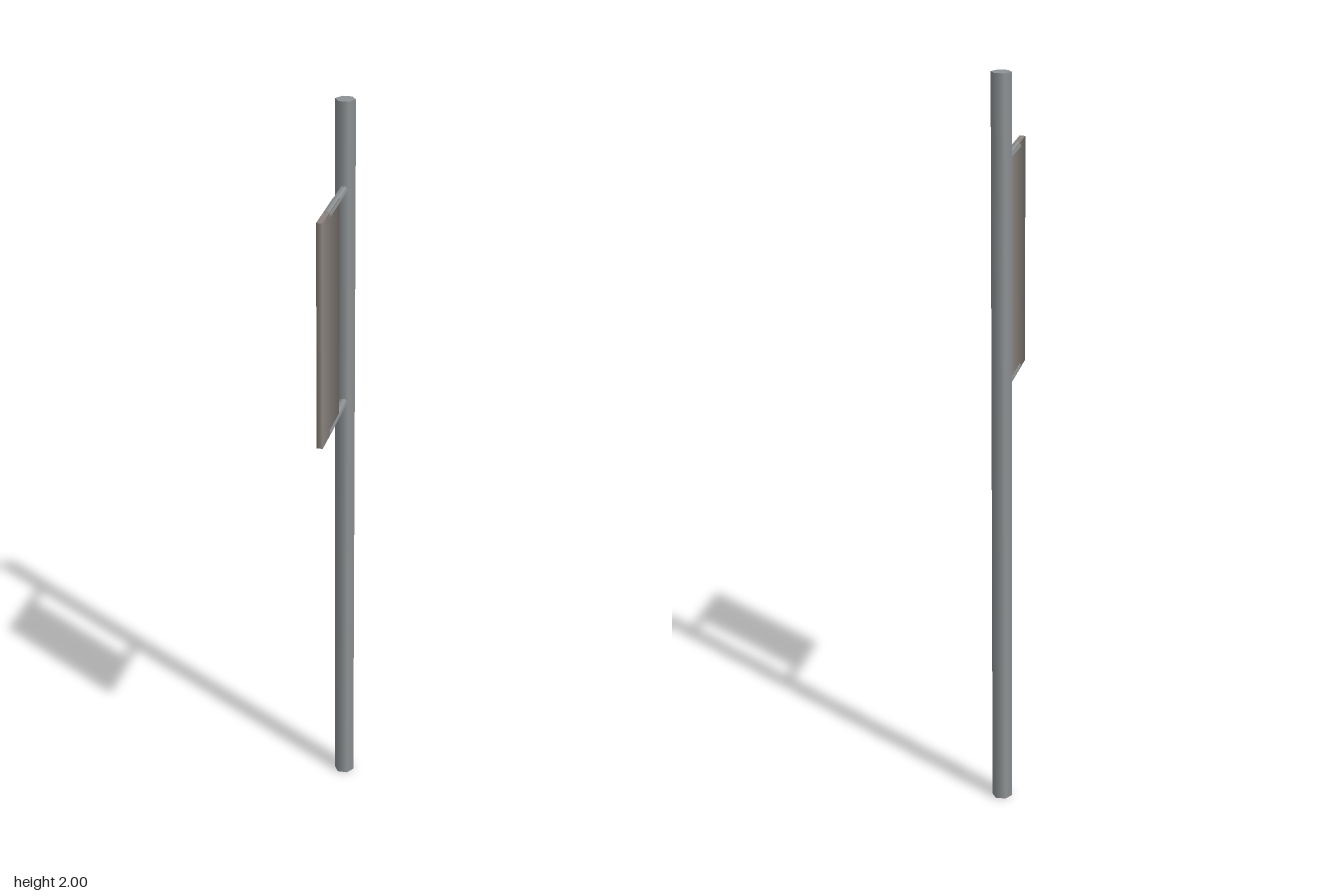
import * as THREE from 'three';

const steel = new THREE.MeshStandardMaterial({ color: 0x8f9395 });
const plate = new THREE.MeshStandardMaterial({ color: 0x8a837d });

// Hexagonal bar standing on y, with corners on +x and -x
function hexBar(name, radius, length) {
  const geometry = new THREE.CylinderGeometry(radius, radius, length, 6, 1, false, Math.PI / 2);
  const mesh = new THREE.Mesh(geometry, steel);
  mesh.name = name;
  return mesh;
}

export function createModel() {
  const model = new THREE.Group();
  model.name = 'signPost';
  const top = 1.774, bottom = 1.155, armRadius = 0.012;
  const armHalfHeight = armRadius * Math.sqrt(3) / 2;

  // Upright pole
  const pole = hexBar('pole', 0.027, 2);
  pole.position.set(0, 1, -0.139);
  model.add(pole);

  // Two horizontal arms running forward from the pole
  const armBack = -0.125, armFront = 0.082;
  for (const [name, y] of [['upperArm', top - armHalfHeight], ['lowerArm', bottom + armHalfHeight]]) {
    const arm = hexBar(name, armRadius, armFront - armBack);
    arm.rotation.x = Math.PI / 2;
    arm.position.set(0, y, (armBack + armFront) / 2);
    model.add(arm);
  }

  // Thin panel held by the arms: four walls shaded smoothly around, flat caps
  const back = -0.032, front = 0.162;
  const geometry = new THREE.CylinderGeometry(Math.SQRT1_2, Math.SQRT1_2, 1, 4, 1, false, Math.PI / 4);
  const roundNormals = geometry.attributes.normal.clone();
  geometry.scale(0.016, top - bottom - 0.003, front - back);
  geometry.setAttribute('normal', roundNormals);
  const panel = new THREE.Mesh(geometry, plate);
  panel.name = 'panel';
  panel.position.set(0, (top + bottom) / 2, (front + back) / 2);
  model.add(panel);

  return model;
}
